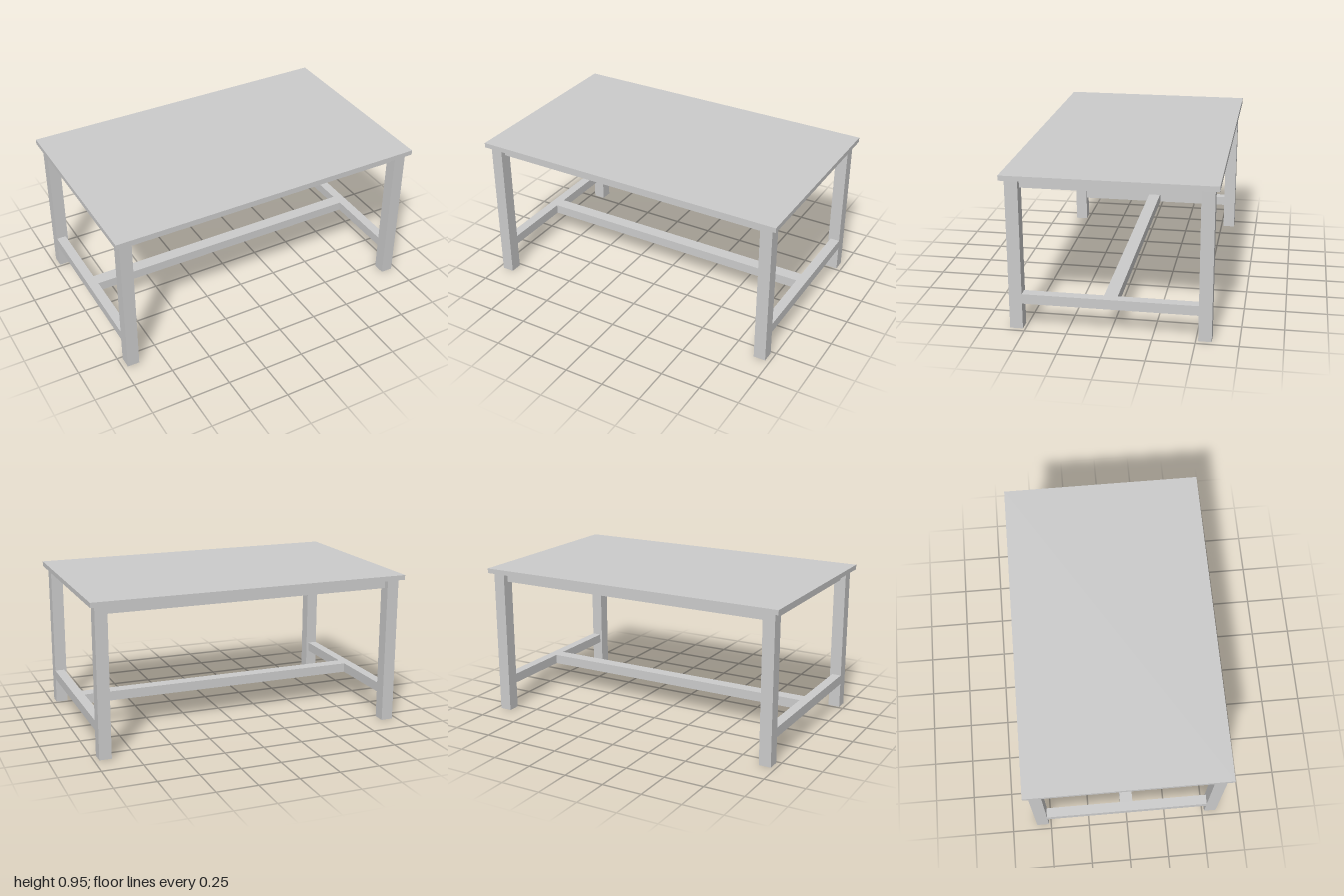
import * as THREE from 'three';

const material = new THREE.MeshStandardMaterial({ color: 0xcccccc });

// Box given by its extents along each axis
function addBox(group, name, [x0, x1], [y0, y1], [z0, z1]) {
  const mesh = new THREE.Mesh(new THREE.BoxGeometry(x1 - x0, y1 - y0, z1 - z0), material);
  mesh.position.set((x0 + x1) / 2, (y0 + y1) / 2, (z0 + z1) / 2);
  mesh.name = name;
  group.add(mesh);
}

// Extent between two distances from the centre, on the chosen side
const span = (side, inner, outer) => (side > 0 ? [inner, outer] : [-outer, -inner]);

export function createModel() {
  const table = new THREE.Group();
  table.name = 'table';

  const legX = [0.895, 0.97], legZ = [0.515, 0.592];
  const topBottom = 0.917;
  const apronY = [0.86, topBottom], railY = [0.16, 0.22];
  const apronInset = 0.035, apronThickness = 0.06, railWidth = 0.06;
  const apronX = legX[1] - apronInset, apronZ = legZ[1] - apronInset;

  addBox(table, 'tableTop', [-1, 1], [topBottom, 0.947], [-0.618, 0.618]);

  for (const side of [1, -1]) {
    const sideName = side > 0 ? 'left' : 'right';
    const endName = side > 0 ? 'front' : 'back';

    // Legs
    for (const end of [1, -1]) {
      addBox(table, `${sideName}${end > 0 ? 'Front' : 'Back'}Leg`,
        span(side, ...legX), [0, topBottom], span(end, ...legZ));
    }

    // Apron frame under the top, set back from the outer leg faces
    addBox(table, `${endName}Apron`, [-apronX, apronX], apronY,
      span(side, apronZ - apronThickness, apronZ));
    addBox(table, `${sideName}Apron`, span(side, apronX - apronThickness, apronX), apronY,
      [-apronZ + apronThickness, apronZ - apronThickness]);

    // Low end rails, flush with the outer leg faces
    addBox(table, `${sideName}Rail`, span(side, legX[1] - railWidth, legX[1]), railY,
      [-legZ[0], legZ[0]]);
  }

  // Long central stretcher joining the end rails
  const reach = legX[1] - railWidth;
  addBox(table, 'centreStretcher', [-reach, reach], railY, [-0.04, 0.04]);

  return table;
}
